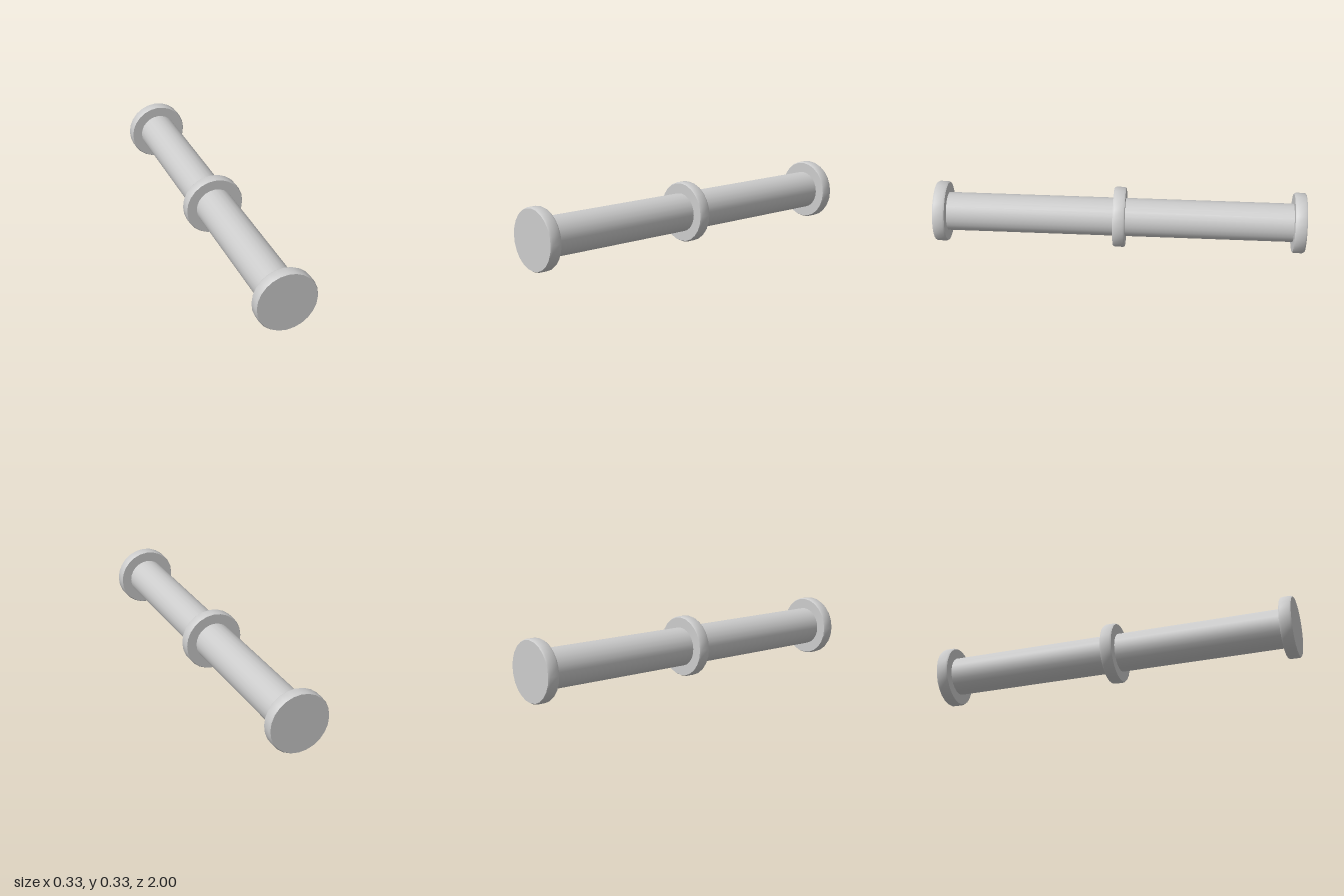
import * as THREE from 'three';
import { toCreasedNormals } from 'three/addons/utils/BufferGeometryUtils.js';

const SIDES = 24;
const FLANGE_RADIUS = 0.1635;
const FLANGE_WIDTH = 0.064;
const SHAFT_RADIUS = 0.104;
const AXIS_HEIGHT = 0.164;

// Closed disc with slightly eased rims, its axis along z
function flangeGeometry() {
  const h = FLANGE_WIDTH / 2, r = FLANGE_RADIUS, inset = 0.005, ease = 0.009;
  const profile = [
    [0, -h], [r - inset, -h], [r, -h + ease],
    [r, h - ease], [r - inset, h], [0, h],
  ].map(([x, y]) => new THREE.Vector2(x, y));
  const geometry = new THREE.LatheGeometry(profile, SIDES);
  geometry.rotateX(Math.PI / 2);
  return toCreasedNormals(geometry, 0.7);
}

export function createModel() {
  const group = new THREE.Group();
  group.name = 'flangedBar';
  const material = new THREE.MeshStandardMaterial({ color: 0xcccccc });

  const add = (name, geometry, z) => {
    const mesh = new THREE.Mesh(geometry, material);
    mesh.name = name;
    mesh.position.set(0, AXIS_HEIGHT, z);
    group.add(mesh);
  };

  // Round shaft running between the end flanges
  const shaft = new THREE.CylinderGeometry(SHAFT_RADIUS, SHAFT_RADIUS, 2 - FLANGE_WIDTH, SIDES);
  shaft.rotateX(Math.PI / 2);
  add('shaft', shaft, 0);

  // End flanges and middle collar
  const flange = flangeGeometry();
  const end = 1 - FLANGE_WIDTH / 2;
  add('frontFlange', flange, end);
  add('middleCollar', flange, 0);
  add('backFlange', flange, -end);

  return group;
}
